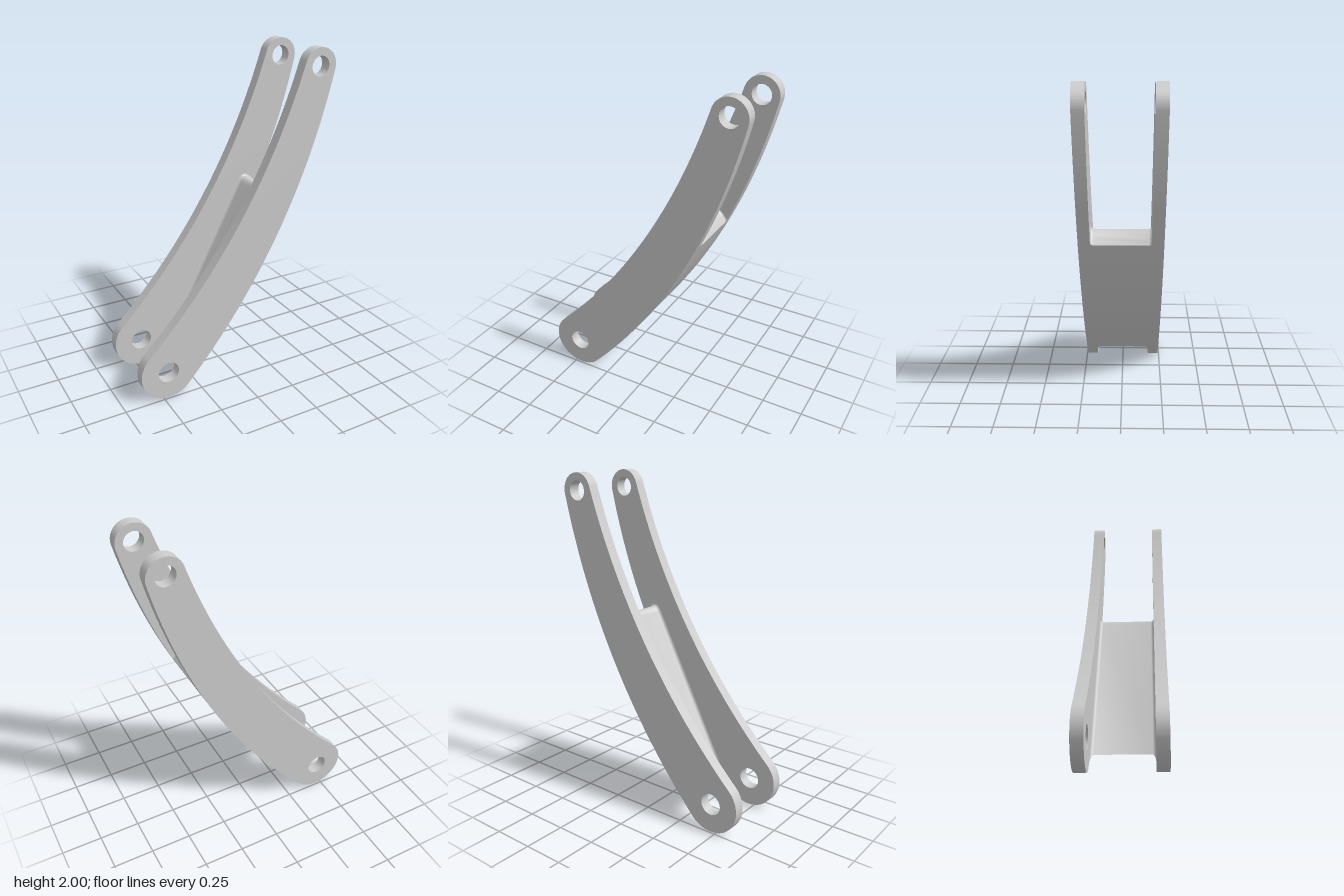
import * as THREE from 'three';
import { toCreasedNormals } from 'three/addons/utils/BufferGeometryUtils.js';

const LOW = new THREE.Vector2(-0.463, 0.175), LOW_R = 0.175, LOW_HOLE = 0.065;
const TOP = new THREE.Vector2(0.53, 1.895), TOP_R = 0.105, TOP_HOLE = 0.058;
const ARC_R = 4;
const Z_IN = 0.172, Z_OUT = 0.24;

// Centre and end angles of the edge arc tangent to both end circles
// (side = -1: outer edge, side = 1: inner edge).
function edgeArc(side) {
  const a = ARC_R + side * LOW_R, b = ARC_R + side * TOP_R;
  const u = TOP.clone().sub(LOW), d = u.length();
  u.normalize();
  const s = (a * a - b * b + d * d) / (2 * d), t = Math.sqrt(a * a - s * s);
  const c = new THREE.Vector2(LOW.x + u.x * s - u.y * t, LOW.y + u.y * s + u.x * t);
  return { c, low: LOW.clone().sub(c), top: TOP.clone().sub(c) };
}
const angle = (v) => Math.atan2(v.y, v.x);
const outer = edgeArc(-1), inner = edgeArc(1);

function plateGeometry() {
  const oL = angle(outer.low), oT = angle(outer.top);
  const iL = angle(inner.low), iT = angle(inner.top);
  const shape = new THREE.Shape();
  shape.absarc(outer.c.x, outer.c.y, ARC_R, oL, oT, false);
  shape.absarc(TOP.x, TOP.y, TOP_R, oT, iT + Math.PI, false);
  shape.absarc(inner.c.x, inner.c.y, ARC_R, iT, iL, true);
  shape.absarc(LOW.x, LOW.y, LOW_R, iL + Math.PI, oL + 2 * Math.PI, false);
  for (const [p, r] of [[LOW, LOW_HOLE], [TOP, TOP_HOLE]]) {
    shape.holes.push(new THREE.Path().absarc(p.x, p.y, r, 0, Math.PI * 2, true));
  }
  const geo = new THREE.ExtrudeGeometry(shape, { depth: Z_OUT - Z_IN, bevelEnabled: false, curveSegments: 32 });
  return toCreasedNormals(geo, 0.5);
}

// Web outline: outer arc, rounded nose, flat inner face shifted outward by o.
function webOutline(o) {
  const dir = new THREE.Vector2(0.46, 0.888).normalize();
  const m = new THREE.Vector2(-dir.y, dir.x);
  const start = new THREE.Vector2(0.25, 1.125).addScaledVector(m, o);
  const ctrl = new THREE.Vector2(0.291, 1.205).addScaledVector(m, o).addScaledVector(dir, o / 2);

  // lower end: where the flat face runs out on the arc
  const w = start.clone().sub(outer.c), k = w.dot(dir);
  const run = -k - Math.sqrt(k * k - w.lengthSq() + ARC_R * ARC_R);
  const a0 = angle(w.clone().addScaledVector(dir, run));
  const a1 = Math.asin((1.085 + o - outer.c.y) / ARC_R);

  const pts = [];
  for (let i = 0; i <= 24; i++) {
    const a = a0 + (a1 - a0) * i / 24;
    pts.push(new THREE.Vector2(outer.c.x + ARC_R * Math.cos(a), outer.c.y + ARC_R * Math.sin(a)));
  }
  const nose = new THREE.QuadraticBezierCurve(pts[24].clone(), ctrl, start);
  pts.push(...nose.getPoints(12).slice(1));
  return pts;
}

// Web lofted across z, flaring into small fillets against both plates.
function webGeometry() {
  const r = 0.02, n = 6, stations = [];
  for (let i = 0; i <= n; i++) {
    const f = (i / n) * Math.PI / 2;
    stations.push({ z: Z_IN - r * (1 - Math.cos(f)), o: r * (1 - Math.sin(f)) });
  }
  const all = [...stations.map(({ z, o }) => ({ z: -z, o })), ...stations.reverse()];
  const pos = [], idx = [];
  let count = 0;
  for (const { z, o } of all) {
    const pts = webOutline(o);
    count = pts.length;
    for (const p of pts) pos.push(p.x, p.y, z);
  }
  for (let i = 0; i < all.length - 1; i++) {
    for (let j = 0; j < count; j++) {
      const a = i * count + j, b = i * count + (j + 1) % count;
      idx.push(a, b, b + count, a, b + count, a + count);
    }
  }
  const geo = new THREE.BufferGeometry();
  geo.setAttribute('position', new THREE.Float32BufferAttribute(pos, 3));
  geo.setIndex(idx);
  return toCreasedNormals(geo, 0.5);
}

export function createModel() {
  const group = new THREE.Group();
  group.name = 'curvedLinkArm';
  const material = new THREE.MeshStandardMaterial({ color: 0xcccccc });
  const add = (name, geo, z = 0) => {
    const mesh = new THREE.Mesh(geo, material);
    mesh.name = name;
    mesh.position.z = z;
    group.add(mesh);
  };

  // Two matching side plates joined by the web
  const plate = plateGeometry();
  add('frontPlate', plate, Z_IN);
  add('backPlate', plate, -Z_OUT);
  add('connectingWeb', webGeometry());
  return group;
}
